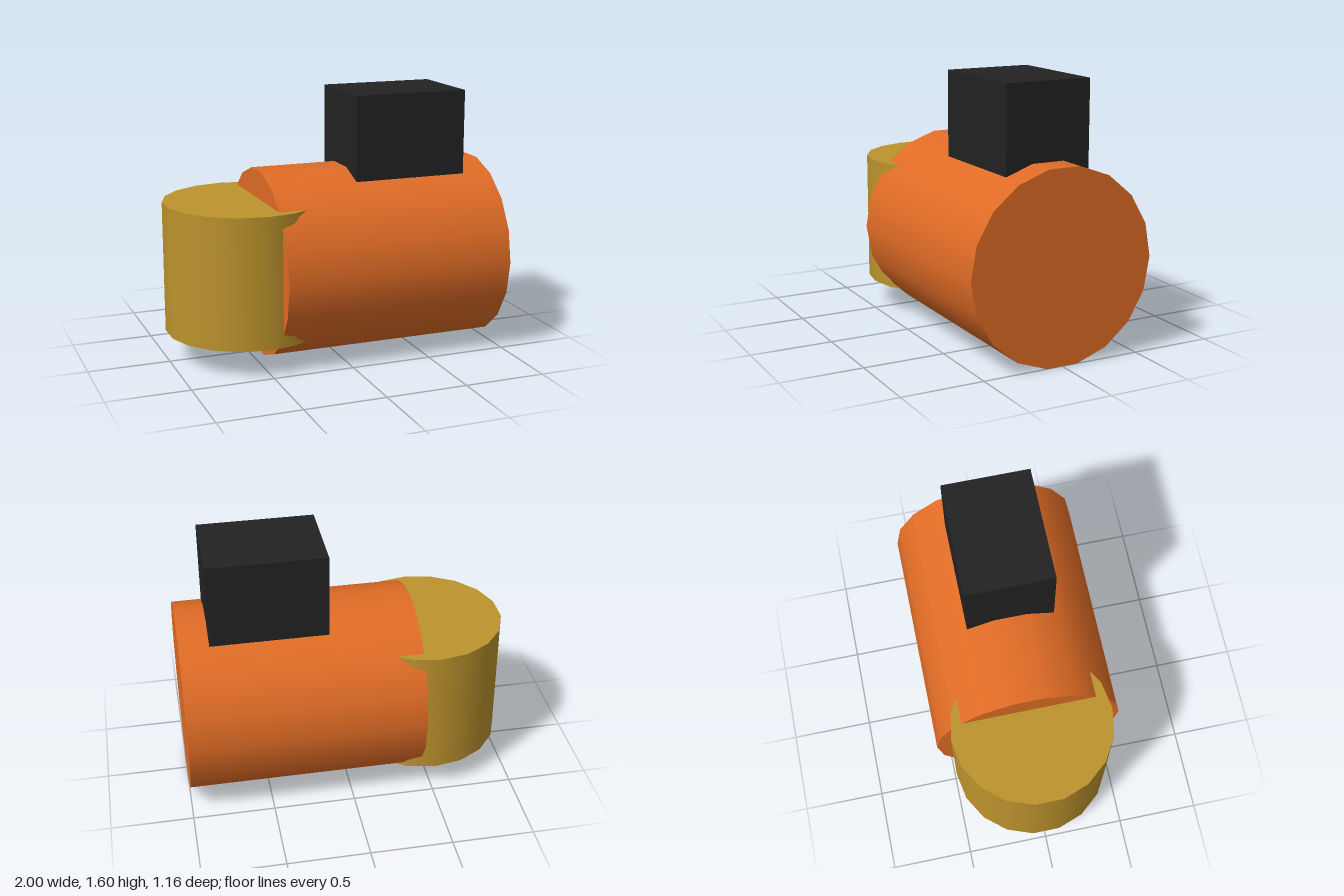
import * as THREE from 'three';

const material = (name, color) => {
  const m = new THREE.MeshStandardMaterial({ color });
  m.name = name;
  return m;
};

export function createModel() {
  const orange = material('orange', 0xe06c26);
  const ochre = material('ochre', 0xbc932d);
  const black = material('black', 0x222222);

  const group = new THREE.Group();
  const add = (name, geometry, mat, x, y, z) => {
    const mesh = new THREE.Mesh(geometry, mat);
    mesh.name = name;
    mesh.position.set(x, y, z);
    group.add(mesh);
  };

  // Main barrel lying along x
  const barrel = new THREE.CylinderGeometry(0.58, 0.58, 1.43, 18).rotateZ(Math.PI / 2);
  add('barrel', barrel, orange, 0.285, 0.571, 0);

  // Upright drum sunk into the barrel's end
  add('endDrum', new THREE.CylinderGeometry(0.49, 0.49, 0.8, 18), ochre, -0.517, 0.573, 0);

  // Block seated on top of the barrel
  add('topBlock', new THREE.BoxGeometry(0.71, 0.54, 0.535), black, 0.465, 1.33, 0);

  return group;
}
